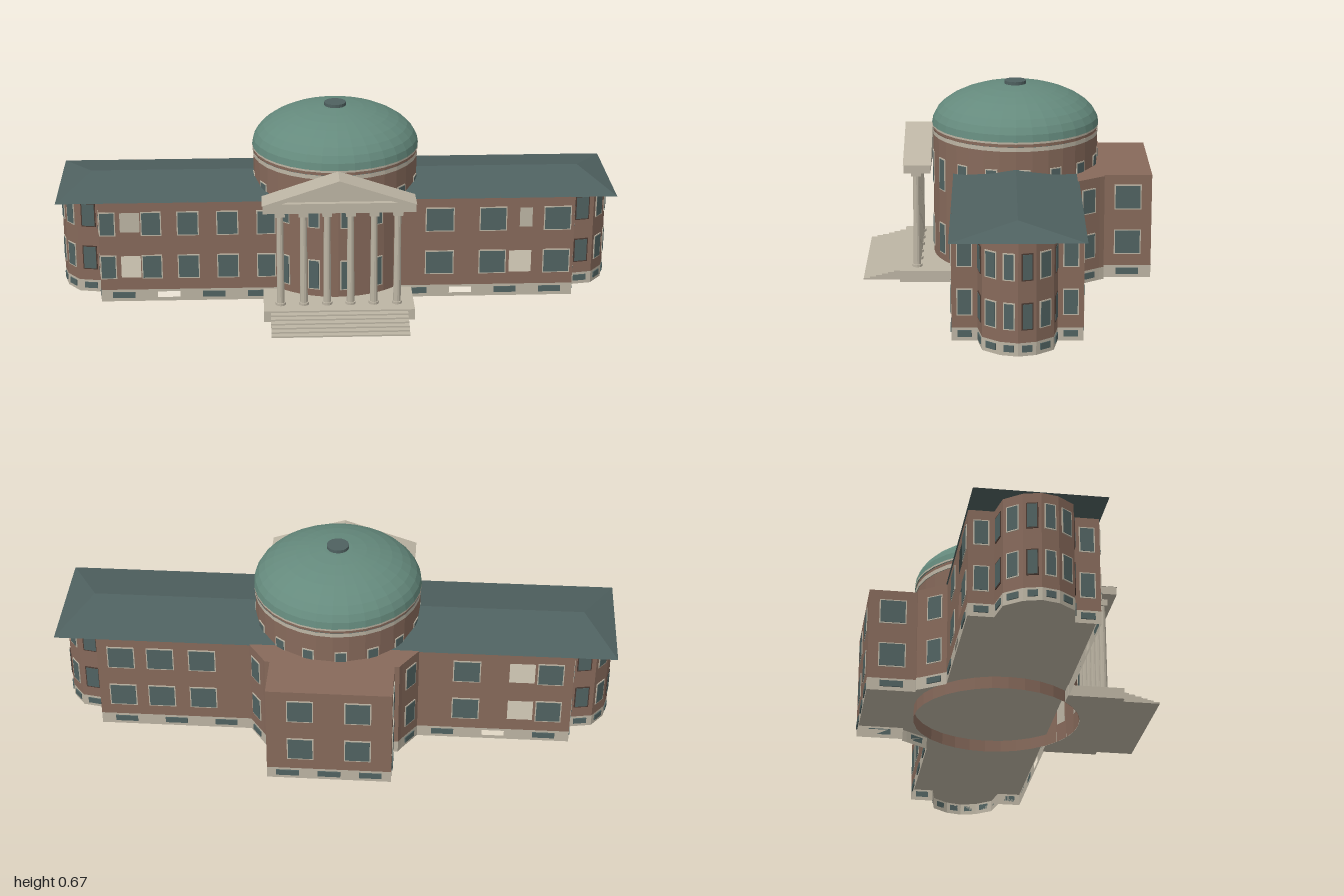
import * as THREE from 'three';

const mat = (name, color, extra = {}) => {
  const m = new THREE.MeshStandardMaterial({ color, flatShading: true, side: THREE.DoubleSide, ...extra });
  m.name = name;
  return m;
};
const BRICK = mat('brick', 0x876a5b);
const STONE = mat('pale stone', 0xbdb5a4);
const SLATE = mat('slate roof', 0x4f6160);
const DOME = mat('green copper', 0x658a7d);
const GLASS = mat('window glass', 0x516362);
const DARK = mat('dark window frame', 0x4c3b33);

const BASE = 0.045, TOP = 0.38, R = 0.295, SIDES = 32;
const FLOORS = [[0.092, 0.175], [0.257, 0.34]];

function add(parent, name, geo, material, x = 0, y = 0, z = 0) {
  const m = new THREE.Mesh(geo, material);
  m.name = name;
  m.position.set(x, y, z);
  parent.add(m);
  return m;
}

function rect(ClassType, x0, x1, y0, y1) {
  const s = new ClassType();
  s.moveTo(x0, y0);
  s.lineTo(x1, y0);
  s.lineTo(x1, y1);
  s.lineTo(x0, y1);
  s.closePath();
  return s;
}

// Framed pane lying just in front of a wall plane at local z = 0
function pane(parent, u, w, y0, y1, frame) {
  const h = y1 - y0, y = (y0 + y1) / 2;
  if (frame) add(parent, 'windowFrame', new THREE.BoxGeometry(w + 0.008, h + 0.008, 0.004), frame, u, y, 0.001);
  add(parent, 'windowGlass', new THREE.BoxGeometry(w, h, 0.004), GLASS, u, y, 0.002);
}

// One wall from a to b: stone plinth below, brick above; open windows are real holes
function wall(parent, a, b, windows, frame) {
  const dx = b[0] - a[0], dz = b[1] - a[1], L = Math.hypot(dx, dz);
  const g = new THREE.Group();
  g.name = 'wall';
  g.position.set(a[0], 0, a[1]);
  g.rotation.y = Math.atan2(-dz, dx);
  parent.add(g);
  const brick = rect(THREE.Shape, 0, L, BASE, TOP);
  const plinth = rect(THREE.Shape, 0, L, 0, BASE);
  for (const [u, w, open] of windows)
    for (const [y0, y1] of FLOORS) {
      if (open) brick.holes.push(rect(THREE.Path, u - w / 2, u + w / 2, y0, y1));
      else pane(g, u, w, y0, y1, frame);
    }
  // Basement lights
  const n = Math.max(1, Math.round(L / 0.16)), w = Math.min(0.08, L * 0.55);
  const anyOpen = windows.some(v => v[2]);
  if (L > 0.05)
    for (let i = 0; i < n; i++) {
      const u = (i + 0.5) * L / n;
      if (anyOpen && i === 1) plinth.holes.push(rect(THREE.Path, u - w / 2, u + w / 2, 0.014, 0.036));
      else pane(g, u, w, 0.014, 0.036, null);
    }
  add(g, 'brickWall', new THREE.ShapeGeometry(brick), BRICK);
  add(g, 'stonePlinth', new THREE.ShapeGeometry(plinth), STONE);
}

// Plan drawn in x,z turned into a level sheet
const sheet = pts => new THREE.ShapeGeometry(new THREE.Shape(pts.map(p => new THREE.Vector2(...p)))).rotateX(Math.PI / 2);

function buildWings(root) {
  const g = new THREE.Group();
  g.name = 'wingsAndRearBlock';
  root.add(g);
  const half = [
    [0.2, 0.215], [0.845, 0.215], [0.845, 0.13], [0.93, 0.115], [0.975, 0.058], [0.99, 0], [0.975, -0.058],
    [0.93, -0.115], [0.845, -0.13], [0.845, -0.215], [0.3, -0.215], [0.245, -0.295], [0.235, -0.312],
    [0.218, -0.312], [0.218, -0.48]];
  const plan = [...half, ...half.map(([x, z]) => [-x, z]).reverse()];
  // Long walls: distance along the wall, width, open or not
  const special = {
    0: [[0.165, 0.095], [0.355, 0.09], [0.455, 0.08, true], [0.585, 0.09]],
    9: [[0.085, 0.09], [0.225, 0.09], [0.375, 0.09]],
    14: [[0.118, 0.085], [0.318, 0.085]],
    19: [[0.17, 0.09], [0.365, 0.09, true], [0.465, 0.085]],
    28: [[0.03, 0.05], [0.11, 0.07, true], [0.185, 0.065], [0.315, 0.07], [0.455, 0.07], [0.592, 0.06]],
  };
  const darkFramed = [2, 5, 7, 21, 23, 26];
  for (let i = 0; i < plan.length - 1; i++) {
    const a = plan[i], b = plan[i + 1], L = Math.hypot(b[0] - a[0], b[1] - a[1]);
    const windows = special[i] || (L > 0.05 ? [[L / 2, Math.min(0.09, L * 0.52)]] : []);
    wall(g, a, b, windows, darkFramed.includes(i) ? DARK : STONE);
  }
  add(g, 'floor', sheet(plan), STONE, 0, BASE - 0.002, 0);

  // Flat roof of the rear block
  const rear = half.slice(10);
  add(g, 'rearFlatRoof', sheet([...rear, ...rear.map(([x, z]) => [-x, z]).reverse()]), BRICK, 0, TOP, 0);

  // Long hipped roof: a box whose top edge is drawn into a ridge
  const hip = new THREE.BoxGeometry(1.986, 0.042, 0.44);
  const p = hip.attributes.position;
  for (let i = 0; i < p.count; i++)
    if (p.getY(i) > 0) p.setXYZ(i, Math.sign(p.getX(i)) * 0.88, p.getY(i), 0);
  hip.computeVertexNormals();
  add(g, 'hippedRoof', hip, SLATE, 0, TOP + 0.02, 0);
}

function buildRotunda(root) {
  const g = new THREE.Group();
  g.name = 'rotunda';
  root.add(g);
  const ring = (name, y0, y1, r, m) =>
    add(g, name, new THREE.CylinderGeometry(r, r, y1 - y0, SIDES, 1, true), m, 0, (y0 + y1) / 2, 0);
  ring('drum', 0, 0.485, R, BRICK);
  ring('lowerBand', 0.485, 0.5, R + 0.002, STONE);
  ring('friezeBand', 0.5, 0.512, R, BRICK);
  ring('upperBand', 0.512, 0.519, R + 0.004, STONE);

  // Drum windows on every second side
  for (let k = 0; k < SIDES; k += 2) {
    const t = (k + 0.5) * 2 * Math.PI / SIDES;
    const w = new THREE.Group();
    w.name = 'drumWindow';
    w.rotation.y = t;
    w.position.set(Math.sin(t), 0, Math.cos(t)).multiplyScalar(R * Math.cos(Math.PI / SIDES));
    g.add(w);
    pane(w, 0, 0.036, 0.305, 0.415, STONE);
    if (Math.cos(t) > 0.7) pane(w, 0, 0.036, 0.07, 0.175, STONE);
  }

  // Dome and its cap
  const profile = [];
  for (let i = 0; i <= 9; i++) {
    const a = i / 9 * Math.PI / 2;
    profile.push(new THREE.Vector2(Math.max(0, (R + 0.004) * Math.cos(a)), 0.519 + 0.143 * Math.sin(a)));
  }
  add(g, 'dome', new THREE.LatheGeometry(profile, SIDES), DOME);
  add(g, 'domeCap', new THREE.CylinderGeometry(0.039, 0.039, 0.02, 20), SLATE, 0, 0.662, 0);
}

function buildPortico(root) {
  const g = new THREE.Group();
  g.name = 'portico';
  root.add(g);

  // Platform fitted round the drum
  const s = new THREE.Shape();
  const a = Math.asin(0.2115 / R);
  s.moveTo(-0.265, 0.2115);
  s.lineTo(-0.265, 0.41);
  s.lineTo(0.265, 0.41);
  s.lineTo(0.265, 0.2115);
  s.absarc(0, 0, R, a, Math.PI - a, false);
  const platform = new THREE.ExtrudeGeometry(s, { depth: 0.04, bevelEnabled: false, curveSegments: 12 });
  add(g, 'platform', platform.rotateX(Math.PI / 2), STONE, 0, 0.04, 0);

  // Steps
  for (let i = 0; i < 6; i++) {
    const h = 0.04 * (6 - i) / 7, z1 = 0.41 + 0.0217 * (i + 1);
    add(g, 'step', new THREE.BoxGeometry(0.48, h, z1 - 0.405), STONE, 0, h / 2, (z1 + 0.405) / 2);
  }

  // Six columns
  for (let i = 0; i < 6; i++) {
    const c = new THREE.Group();
    c.name = 'column';
    c.position.set((i - 2.5) * 0.082, 0, 0.35);
    g.add(c);
    add(c, 'shaft', new THREE.CylinderGeometry(0.0115, 0.0135, 0.34, 12), STONE, 0, 0.21, 0);
    add(c, 'columnBase', new THREE.CylinderGeometry(0.018, 0.018, 0.01, 12), STONE, 0, 0.044, 0);
    add(c, 'capital', new THREE.BoxGeometry(0.034, 0.024, 0.034), STONE, 0, 0.388, 0);
  }

  // Entablature and gable with a recessed face
  add(g, 'entablature', new THREE.BoxGeometry(0.53, 0.03, 0.094), STONE, 0, 0.415, 0.345);
  const tri = (Type, w, y0, y1) => {
    const t = new Type();
    t.moveTo(-w, y0);
    t.lineTo(w, y0);
    t.lineTo(0, y1);
    t.closePath();
    return t;
  };
  const gable = tri(THREE.Shape, 0.268, 0.429, 0.518);
  add(g, 'gable', new THREE.ExtrudeGeometry(gable, { depth: 0.08, bevelEnabled: false }), STONE, 0, 0, 0.296);
  const rim = tri(THREE.Shape, 0.268, 0.429, 0.518);
  rim.holes.push(tri(THREE.Path, 0.2, 0.436, 0.502));
  add(g, 'rakingCornice', new THREE.ExtrudeGeometry(rim, { depth: 0.018, bevelEnabled: false }), STONE, 0, 0, 0.376);
}

export function createModel() {
  const model = new THREE.Group();
  model.name = 'domedHall';
  const hall = new THREE.Group();
  hall.name = 'hall';
  hall.rotation.y = -0.025;
  hall.position.z = -0.035;
  model.add(hall);
  buildWings(hall);
  buildRotunda(hall);
  buildPortico(hall);
  return model;
}
